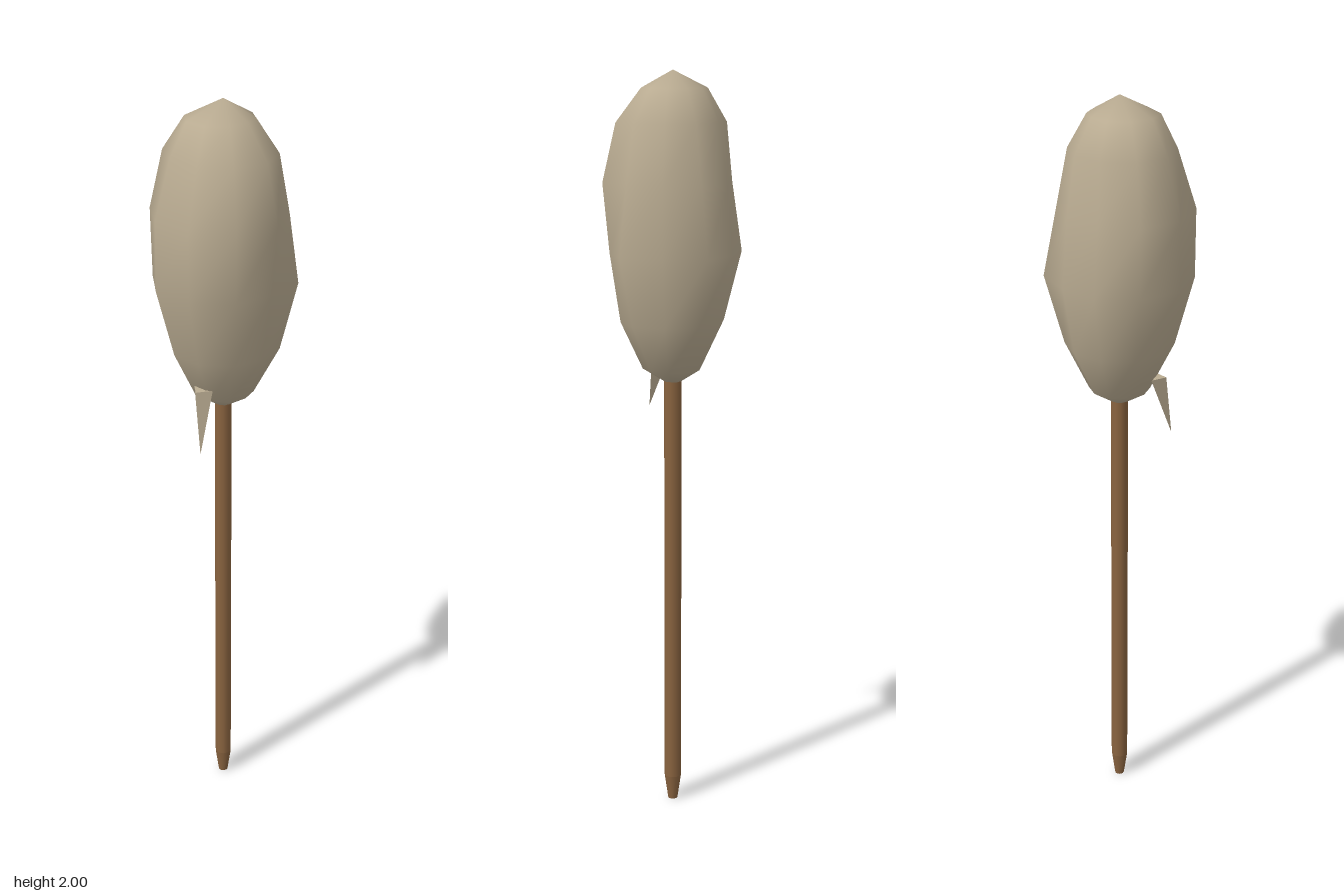
import * as THREE from 'three';

const SIDES = 10;

// Lumpy closed blob: rings of radii from bottom to top, closed by two poles.
function blob(bottom, top, rings) {
  const pos = [0, bottom, 0];
  for (const [y, radii] of rings) {
    for (let i = 0; i < SIDES; i++) {
      const a = ((9.5 + i * 36) * Math.PI) / 180;
      pos.push(radii[i] * Math.cos(a), y, radii[i] * Math.sin(a));
    }
  }
  pos.push(0, top, 0);
  const at = (j, i) => 1 + j * SIDES + (i % SIDES);
  const last = 1 + rings.length * SIDES;
  const index = [];
  for (let i = 0; i < SIDES; i++) {
    index.push(0, at(0, i), at(0, i + 1));
    for (let j = 0; j < rings.length - 1; j++) {
      index.push(at(j, i), at(j + 1, i), at(j, i + 1));
      index.push(at(j, i + 1), at(j + 1, i), at(j + 1, i + 1));
    }
    index.push(at(rings.length - 1, i), last, at(rings.length - 1, i + 1));
  }
  const g = new THREE.BufferGeometry();
  g.setAttribute('position', new THREE.Float32BufferAttribute(pos, 3));
  g.setIndex(index);
  g.computeVertexNormals();
  return g;
}

export function createModel() {
  const group = new THREE.Group();
  const floss = new THREE.MeshStandardMaterial({ color: 0xbaac92 });
  floss.name = 'pale floss';
  const wood = new THREE.MeshStandardMaterial({ color: 0x8a6440 });
  wood.name = 'brown wood';

  const add = (name, geometry, material) => {
    const mesh = new THREE.Mesh(geometry, material);
    mesh.name = name;
    group.add(mesh);
    return mesh;
  };

  // Spun fluff head, with the back flatter in its upper half
  add('flossHead', blob(1.185, 2, [
    [1.235, [0.08, 0.082, 0.08, 0.08, 0.078, 0.076, 0.078, 0.08, 0.078, 0.08]],
    [1.36, [0.138, 0.14, 0.142, 0.14, 0.137, 0.136, 0.138, 0.142, 0.135, 0.146]],
    [1.54, [0.165, 0.178, 0.19, 0.188, 0.18, 0.182, 0.17, 0.192, 0.163, 0.19]],
    [1.72, [0.182, 0.184, 0.19, 0.187, 0.184, 0.155, 0.155, 0.157, 0.163, 0.165]],
    [1.87, [0.147, 0.145, 0.142, 0.145, 0.15, 0.14, 0.13, 0.128, 0.128, 0.138]],
    [1.955, [0.082, 0.09, 0.1, 0.1, 0.095, 0.09, 0.082, 0.08, 0.08, 0.08]],
  ]), floss);

  // Loose wisp hanging at the front: a three-sided spike leaning outward
  const wisp = new THREE.ConeGeometry(0.033, 0.165, 3).toNonIndexed();
  const p = wisp.attributes.position;
  for (let i = 0; i < p.count; i++) {
    const tip = p.getY(i) > 0;
    const x = tip ? 0.022 : p.getX(i);
    const z = tip ? 0.135 : 0.1 + p.getZ(i) * 0.7;
    p.setXYZ(i, x, tip ? 1.107 : 1.272, z);
  }
  // Turning the cone upside down reverses its corners, so swap two per face
  const a = new THREE.Vector3(), b = new THREE.Vector3();
  for (let i = 0; i < p.count; i += 3) {
    a.fromBufferAttribute(p, i + 1);
    b.fromBufferAttribute(p, i + 2);
    p.setXYZ(i + 1, b.x, b.y, b.z);
    p.setXYZ(i + 2, a.x, a.y, a.z);
  }
  wisp.computeVertexNormals();
  add('looseWisp', wisp, floss);

  // Round stick and its tapered foot
  const stick = add('stick', new THREE.CylinderGeometry(0.023, 0.023, 1.23, 10), wood);
  stick.position.y = 0.685;
  const foot = add('stickFoot', new THREE.CylinderGeometry(0.023, 0.013, 0.07, 10), wood);
  foot.position.y = 0.035;

  return group;
}
